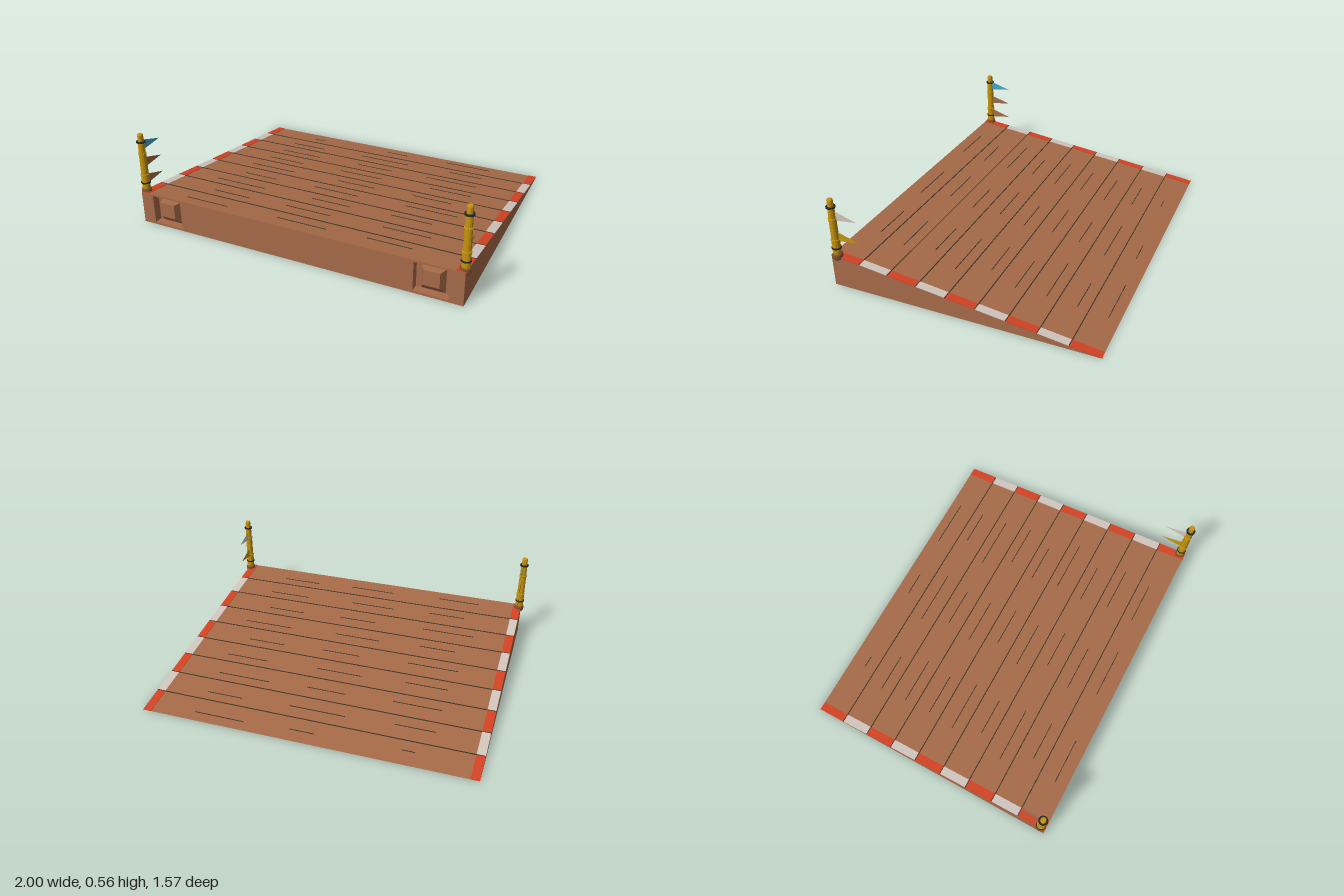
import * as THREE from 'three';

const W = 0.982, D = 0.785, H = 0.198;
const mat = (name, color, side = THREE.FrontSide) => {
  const m = new THREE.MeshStandardMaterial({ color, side });
  m.name = name;
  return m;
};

export function createModel() {
  const model = new THREE.Group();
  model.name = 'ramp';
  const wood = mat('wood', 0xa66a48, THREE.DoubleSide);
  const red = mat('red', 0xd44224);
  const white = mat('offWhite', 0xd2c6be, THREE.DoubleSide);
  const dark = mat('darkWood', 0x3c372a);
  const gold = mat('gold', 0xc6940f, THREE.DoubleSide);
  const blue = mat('blue', 0x43aaca, THREE.DoubleSide);
  const iron = mat('iron', 0x22262e);
  const collarWood = mat('collarBrown', 0x80502f);

  const add = (parent, name, geo, material, x = 0, y = 0, z = 0) => {
    const mesh = new THREE.Mesh(geo, material);
    mesh.name = name;
    mesh.position.set(x, y, z);
    parent.add(mesh);
    return mesh;
  };
  const polygon = (pts) => new THREE.Shape(pts.map(([x, y]) => new THREE.Vector2(x, y)));

  // Tilted deck: surface, plank seams, striped edges and wood grain
  const deck = new THREE.Group();
  deck.name = 'deck';
  deck.position.y = H / 2;
  deck.rotation.x = -Math.atan(H / (2 * D));
  deck.scale.z = Math.hypot(H, 2 * D) / (2 * D);
  model.add(deck);
  add(deck, 'deckSurface', new THREE.PlaneGeometry(2 * W, 2 * D).rotateX(-Math.PI / 2), wood);
  const plank = 2 * D / 9;
  const grain = [
    [-0.615, -0.54, -0.045, 0.10, 0.375, 0.68], [-0.69, -0.455, -0.17, 0.17, 0.46, 0.68],
    [-0.685, -0.40, -0.115, 0.125, 0.36, 0.69], [-0.685, -0.43, -0.16, 0.125, 0.445, 0.71],
    [-0.71, -0.40, -0.095, 0.15, 0.40, 0.64], [-0.655, -0.43, -0.17, 0.12, 0.42, 0.74],
    [-0.74, -0.41, -0.095, 0.147, 0.40, 0.645], [-0.645, -0.41, -0.17, 0.115, 0.425, 0.70],
    [-0.71, -0.44, -0.125, 0.175, 0.41, 0.665],
  ];
  grain.forEach((row, i) => {
    const z = -D + plank * (i + 0.5);
    for (const s of [-1, 1]) {
      add(deck, 'edgeStripe', new THREE.BoxGeometry(0.05, 0.003, plank), i % 2 ? white : red, s * (W - 0.025), 0.001, z);
    }
    if (i) add(deck, 'plankSeam', new THREE.BoxGeometry(2 * W, 0.004, 0.005), dark, 0, 0.001, z - plank / 2);
    for (let k = 0; k < 3; k++) {
      const a = row[2 * k], b = row[2 * k + 1];
      add(deck, 'woodGrain', new THREE.BoxGeometry(b - a, 0.003, 0.004), dark, (a + b) / 2, 0.001, z + 0.013 - 0.018 * k);
    }
  });

  // Underside and triangular sides
  add(model, 'underside', new THREE.PlaneGeometry(2 * W, 2 * D).rotateX(Math.PI / 2), dark);
  for (const s of [-1, 1]) {
    const side = new THREE.ShapeGeometry(polygon([[-D, 0], [D, 0], [-D, H]])).rotateY(Math.PI / 2);
    add(model, 'sidePanel', side, wood, s * W);
  }

  // Front wall with two recessed pockets
  const w = W - 0.001;
  const wall = polygon([[-w, 0.001], [w, 0.001], [w, H - 0.001], [-w, H - 0.001]]);
  for (const s of [-1, 1]) {
    const hole = [[0.712, 0.014], [0.712, 0.186], [0.903, 0.186], [0.903, 0.014]].map(([x, y]) => [s * x, y]);
    wall.holes.push(polygon(hole));
  }
  const depth = 0.05;
  const wallGeo = new THREE.ExtrudeGeometry(wall, { depth, bevelEnabled: false });
  // Lower the rear top edge to stay beneath the slope
  const wp = wallGeo.attributes.position;
  for (let i = 0; i < wp.count; i++) {
    if (wp.getZ(i) < 0.01 && wp.getY(i) > 0.19) wp.setY(i, 0.19);
  }
  add(model, 'frontWall', wallGeo, wood, 0, 0, D - depth);

  // Tapered blocks seated in the pockets
  for (const s of [-1, 1]) {
    add(model, 'pocketBack', new THREE.PlaneGeometry(0.195, 0.174), wood, s * 0.807, 0.1, D - depth + 0.001);
    const block = new THREE.BoxGeometry(0.13, 0.142, 0.045).toNonIndexed();
    const p = block.attributes.position;
    for (let i = 0; i < p.count; i++) {
      if (p.getZ(i) > 0) {
        p.setX(i, p.getX(i) * 0.7);
        p.setY(i, p.getY(i) > 0 ? 0.066 : -0.024);
      }
    }
    block.computeVertexNormals();
    add(model, 'pocketBlock', block, wood, s * 0.807, 0.086, D - 0.0265);
  }

  // Flag poles: stepped shaft, bands and foot collar
  const shaft = [[0, 0.18], [0.024, 0.18], [0.024, 0.295], [0.026, 0.297], [0.026, 0.303], [0.022, 0.305],
    [0.021, 0.425], [0.024, 0.427], [0.024, 0.435], [0.020, 0.437], [0.019, 0.505], [0.017, 0.507],
    [0.017, 0.548], [0.013, 0.555], [0, 0.555]].map(([x, y]) => new THREE.Vector2(x, y));
  const collar = [[0, 0.177], [0.025, 0.177], [0.03, 0.184], [0.03, 0.207], [0.025, 0.214], [0, 0.214]]
    .map(([x, y]) => new THREE.Vector2(x, y));
  const flat = (geo) => {
    const g = geo.toNonIndexed();
    g.computeVertexNormals();
    return g;
  };
  const flags = {
    '1': [[0.48, white], [0.35, gold]],
    '-1': [[0.514, blue], [0.405, wood], [0.298, wood]],
  };
  for (const s of [-1, 1]) {
    const pole = new THREE.Group();
    pole.name = s > 0 ? 'leftFlagPole' : 'rightFlagPole';
    pole.position.set(s * 0.97, 0, 0.752);
    model.add(pole);
    add(pole, 'shaft', flat(new THREE.LatheGeometry(shaft, 12)), gold);
    add(pole, 'footCollar', flat(new THREE.LatheGeometry(collar, 12)), collarWood);
    add(pole, 'lowerBand', new THREE.CylinderGeometry(0.028, 0.028, 0.008, 12), iron, 0, 0.25, 0);
    add(pole, 'upperBand', new THREE.CylinderGeometry(0.027, 0.027, 0.008, 12), iron, 0, 0.506, 0);
    // Pennants trailing towards the back
    for (const [top, material] of flags[s]) {
      const pennant = new THREE.ShapeGeometry(polygon([[0.012, 0], [0.012, -0.06], [0.15, -0.043]])).rotateY(Math.PI / 2);
      add(pole, 'pennant', pennant, material, -s * 0.004, top, 0);
    }
  }
  return model;
}
